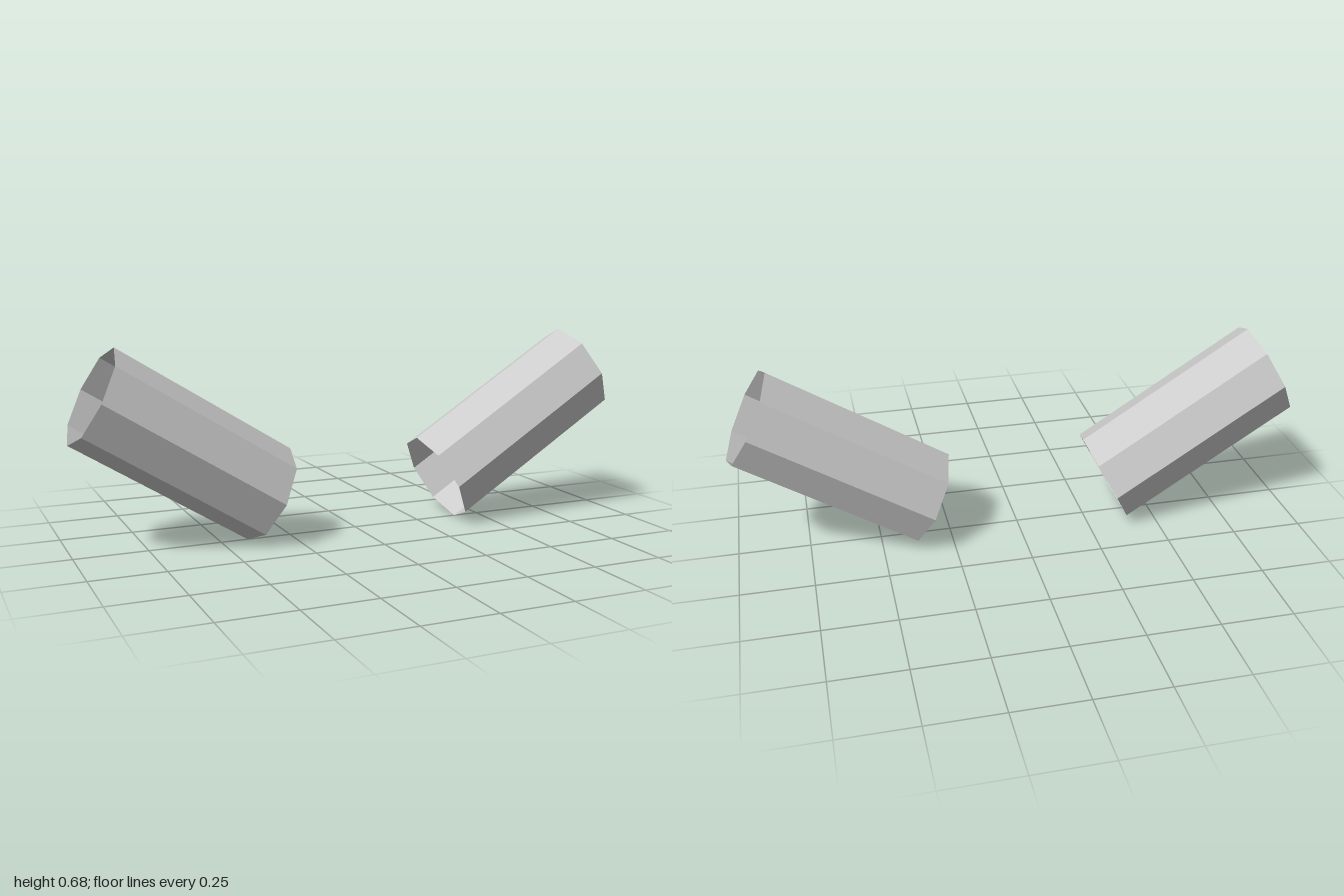
import * as THREE from 'three';

export function createModel() {
  const model = new THREE.Group();
  const material = new THREE.MeshStandardMaterial({
    color: 0xcccccc, flatShading: true, side: THREE.DoubleSide,
  });

  // Open eight-sided tube, slanting up and outwards, with slightly skewed ends
  const makeTube = (side) => {
    const across = new THREE.Vector3(0.08, -0.1535 * side, 0);
    const along = new THREE.Vector3(0.595 * side, 0.375, 0);
    const depth = new THREE.Vector3(0, 0, 0.177);
    const placement = new THREE.Matrix4()
      .makeBasis(across, along, depth)
      .setPosition(0.6225 * side, 0.344, 0);
    const geometry = new THREE.CylinderGeometry(1, 1, 1, 8, 1, true);
    geometry.applyMatrix4(placement);
    const tube = new THREE.Mesh(geometry, material);
    tube.name = side > 0 ? 'leftTube' : 'rightTube';
    return tube;
  };

  for (const side of [1, -1]) model.add(makeTube(side));
  return model;
}
